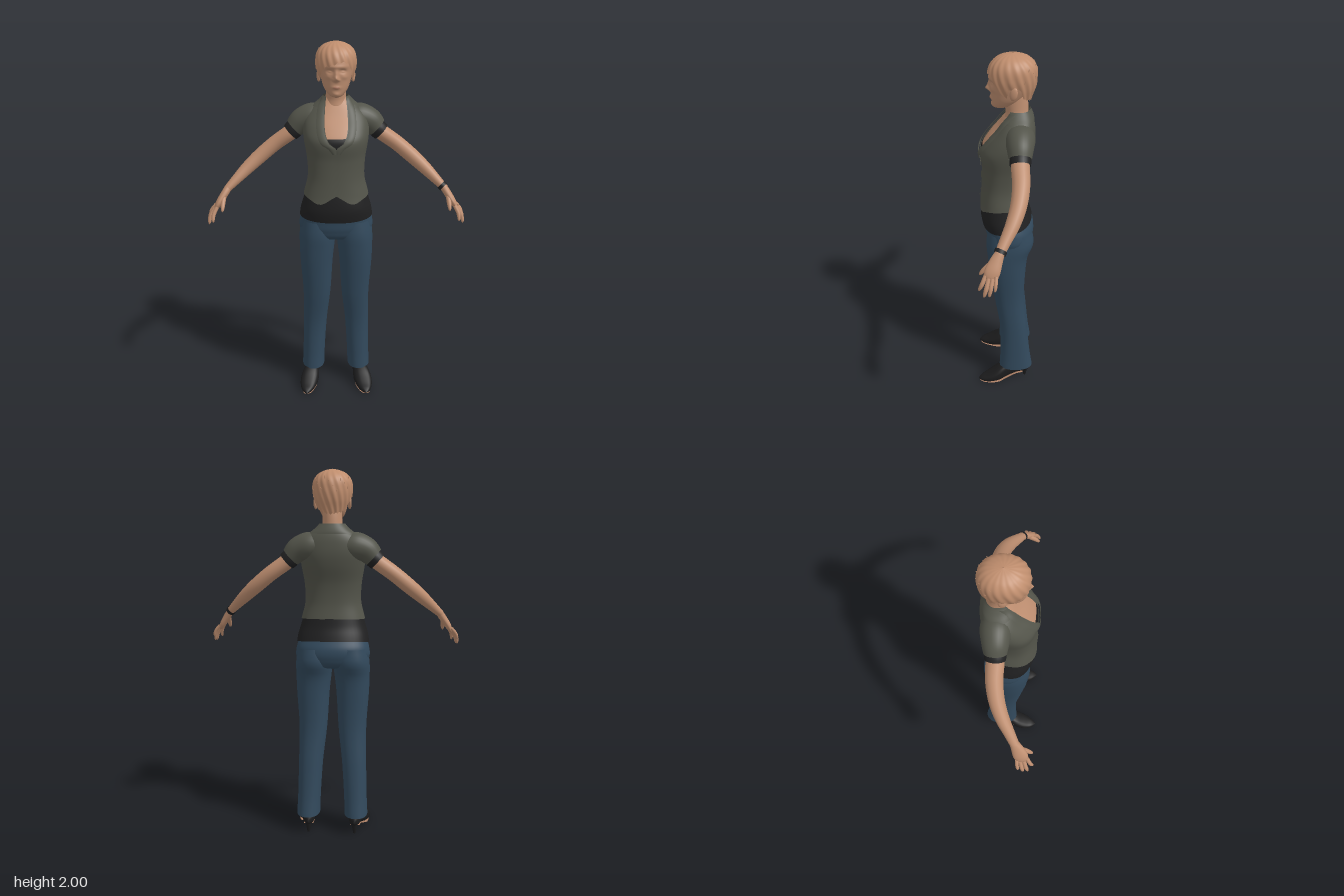
import * as THREE from 'three';
import { ParametricGeometry } from 'three/addons/geometries/ParametricGeometry.js';
import { mergeVertices } from 'three/addons/utils/BufferGeometryUtils.js';

const material = (name, color, side = THREE.DoubleSide) => {
  const m = new THREE.MeshStandardMaterial({ color, side });
  m.name = name;
  return m;
};
const V = (x, y, z) => new THREE.Vector3(x, y, z);
const lerp = THREE.MathUtils.lerp;
const TAU = Math.PI * 2;

// Smooth curve through rows [key, value, value, ...]
function sample(rows, k) {
  let i = 0;
  while (i < rows.length - 2 && k > rows[i + 1][0]) i++;
  const a = rows[i], b = rows[i + 1], h = b[0] - a[0];
  const p = rows[i - 1] || a, n = rows[i + 2] || b;
  const t = THREE.MathUtils.clamp((k - a[0]) / h, 0, 1), t2 = t * t, t3 = t2 * t;
  return a.slice(1).map((_, j) => {
    const c = j + 1;
    const ma = (b[c] - p[c]) / (b[0] - p[0]) * h, mb = (n[c] - a[c]) / (n[0] - a[0]) * h;
    return (2 * t3 - 3 * t2 + 1) * a[c] + (t3 - 2 * t2 + t) * ma + (3 * t2 - 2 * t3) * b[c] + (t3 - t2) * mb;
  });
}

// Smooth mesh from a function of u and v
function sheet(name, mat, nu, nv, fn) {
  let g = new ParametricGeometry((u, v, out) => out.copy(fn(u, v)), nu, nv);
  g.deleteAttribute('normal');
  g.deleteAttribute('uv');
  g = mergeVertices(g, 1e-5);
  g.computeVertexNormals();
  const mesh = new THREE.Mesh(g, mat);
  mesh.name = name;
  return mesh;
}

// Surface of level rings [y, zFront, zBack, halfWidth, xCentre]; angle 0 is the front
const power = (s, e) => Math.sign(s) * Math.abs(s) ** e;
const rings = (rows, e = 0.9) => (angle, y, off = 0) => {
  const [zf, zb, rx, xc = 0] = sample(rows, y);
  return V(xc + (rx + off) * power(Math.sin(angle), e), y,
    (zf + zb) / 2 + ((zf - zb) / 2 + off) * power(Math.cos(angle), e));
};
const column = (name, mat, surface, y0, y1, nu = 40, nv = 24) =>
  sheet(name, mat, nu, nv, (u, v) => surface(u * TAU, lerp(y0, y1, v)));

// Limb along points [x, y, z, thickness, width], optionally rounded at the tip
function limb(name, mat, points, side, round = false, nu = 18, nv = 24) {
  const rows = points.map((p, i) => [i, p[0] * side, ...p.slice(1)]), n = points.length - 1;
  return sheet(name, mat, nu, nv, (u, v) => {
    const k = v * n, [x, y, z, a, b] = sample(rows, k);
    const p = sample(rows, Math.max(0, k - 0.05)), q = sample(rows, Math.min(n, k + 0.05));
    const T = V(q[0] - p[0], q[1] - p[1], q[2] - p[2]).normalize();
    const S = V(0, 0, 1).addScaledVector(T, -T.z).normalize();
    const N = S.clone().cross(T);
    const r = round ? Math.sqrt(Math.max(0, 1 - v ** 8)) : 1;
    return V(x, y, z).addScaledVector(N, a * r * Math.cos(u * TAU)).addScaledVector(S, b * r * Math.sin(u * TAU));
  });
}

export function createModel() {
  const model = new THREE.Group();
  model.name = 'woman';
  const skin = material('skin', 0xbe8e70), hairMat = material('hair', 0xbf8d6d);
  const vestMat = material('vest cloth', 0x53544a), black = material('black cloth', 0x202021);
  const denim = material('trouser cloth', 0x32495c), leather = material('shoe leather', 0x1c1c1d);
  const soleMat = material('sole', 0xae8166), lipMat = material('lips', 0xb07c64);

  // Vest with a scooped opening and pointed front hem
  const torso = rings([
    [1.16, 0.146, -0.125, 0.187], [1.21, 0.138, -0.116, 0.174], [1.3, 0.13, -0.105, 0.153],
    [1.4, 0.128, -0.112, 0.156], [1.5, 0.135, -0.14, 0.172], [1.56, 0.1, -0.15, 0.175],
    [1.62, 0.05, -0.148, 0.162], [1.66, 0.022, -0.14, 0.128], [1.69, 0.002, -0.127, 0.086],
    [1.715, -0.005, -0.118, 0.064]], 0.86);
  const opening = (y) => {
    const w = Math.max(0, sample([[1.1, 0], [1.47, 0], [1.5, 0.036], [1.55, 0.057], [1.62, 0.06], [1.715, 0.052]], y)[0]);
    return Math.asin(Math.min(1, w / torso(Math.PI / 2, y).x) ** (1 / 0.86));
  };
  const hem = (angle) => {
    const a = Math.abs(angle > Math.PI ? angle - TAU : angle);
    return sample([[0, 1.215], [0.4, 1.17], [0.9, 1.19], [1.6, 1.205], [Math.PI, 1.215]], a)[0];
  };
  model.add(sheet('vest', vestMat, 64, 44, (u, v) => {
    const y = lerp(hem(u * TAU), 1.715, v), a = opening(y);
    return torso(lerp(a, TAU - a, u), y);
  }));
  for (const s of [1, -1]) {
    model.add(sheet(s > 0 ? 'leftLapel' : 'rightLapel', vestMat, 8, 30, (u, v) => {
      const y = lerp(1.445, 1.71, v), w = 0.045 * Math.min(1, 0.3 + v * 4) / torso(Math.PI / 2, y).x;
      return torso(s * (opening(y) + u * w), y, 0.004 + 0.007 * Math.sin(Math.PI * Math.min(1, 0.25 + u * 0.6)));
    }));
  }
  model.add(sheet('collar', vestMat, 40, 8, (u, v) => {
    const y = lerp(1.665, 1.718, v), a = opening(y);
    return torso(lerp(a, TAU - a, u), y, 0.009 * Math.sin(Math.PI * (0.15 + 0.7 * v)));
  }));
  model.add(sheet('frontOverlap', vestMat, 4, 20, (u, v) =>
    torso(lerp(-0.1, 0.04, u), lerp(1.215, 1.455, v), 0.005)));
  model.add(sheet('pocketWelt', vestMat, 6, 3, (u, v) =>
    torso(lerp(0.12, 0.4, u), lerp(1.34, 1.385, v) + 0.01 * u, 0.005)));

  // Chest and camisole inside the opening
  model.add(sheet('chest', skin, 24, 20, (u, v) => torso(lerp(-1, 1, u), lerp(1.46, 1.71, v), -0.008)));
  model.add(sheet('camisole', black, 20, 6, (u, v) => torso(lerp(-0.45, 0.45, u), lerp(1.455, 1.522, v), -0.004)));

  // Long shirt below the vest
  const shirt = rings([[1.05, 0.125, -0.146, 0.201], [1.08, 0.132, -0.144, 0.199], [1.12, 0.138, -0.133, 0.193],
    [1.165, 0.136, -0.118, 0.18], [1.21, 0.13, -0.109, 0.167], [1.26, 0.12, -0.1, 0.152]]);
  model.add(sheet('shirt', black, 48, 14, (u, v) =>
    shirt(u * TAU, lerp(1.078 - 0.018 * Math.cos(u * TAU), 1.26, v))));

  // Trousers
  const hips = rings([[0.935, 0.03, -0.07, 0.06], [0.95, 0.085, -0.12, 0.17], [1, 0.11, -0.147, 0.202],
    [1.05, 0.116, -0.149, 0.2], [1.1, 0.12, -0.13, 0.186]]);
  model.add(column('hips', denim, hips, 0.935, 1.1));
  for (const s of [1, -1]) {
    const label = s > 0 ? 'left' : 'right';
    const leg = rings([
      [0.1, 0.04, -0.155, 0.065, 0.135 * s], [0.2, 0.035, -0.14, 0.064, 0.131 * s],
      [0.4, 0.037, -0.12, 0.068, 0.122 * s], [0.6, 0.067, -0.102, 0.078, 0.11 * s],
      [0.8, 0.094, -0.108, 0.091, 0.11 * s], [0.9, 0.104, -0.12, 0.098, 0.106 * s],
      [0.97, 0.109, -0.148, 0.101, 0.102 * s], [1.05, 0.1, -0.14, 0.09, 0.1 * s]]);
    model.add(column(label + 'TrouserLeg', denim, leg, 0.1, 1.05, 32, 36));

    // Pointed shoe from sections [z, bottom, top, xCentre, halfWidth]
    const shoe = [[-0.14, 0.06, 0.08, 0.13, 0.004], [-0.125, 0.05, 0.11, 0.13, 0.028], [-0.06, 0.04, 0.12, 0.135, 0.036],
      [0, 0.018, 0.117, 0.145, 0.043], [0.04, 0.005, 0.098, 0.154, 0.051], [0.08, 0.002, 0.07, 0.162, 0.05],
      [0.12, 0.002, 0.045, 0.168, 0.039], [0.15, 0.005, 0.03, 0.172, 0.022], [0.168, 0.012, 0.016, 0.174, 0.002]];
    model.add(sheet(label + 'Shoe', leather, 24, 30, (u, v) => {
      const z = lerp(-0.14, 0.168, v), [b, t, x, w] = sample(shoe, z), a = u * TAU;
      return V(x * s + w * power(Math.cos(a), 0.8), lerp(b, t, 0.5 + 0.5 * power(Math.sin(a), 0.8)), z);
    }));
    model.add(sheet(label + 'Sole', soleMat, 6, 24, (u, v) => {
      const z = lerp(-0.1, 0.16, v), [b, , x, w] = sample(shoe, z);
      return V(x * s + w * 0.8 * (u * 2 - 1), Math.max(0, b - 0.003), z);
    }));
    const heel = new THREE.Mesh(new THREE.CylinderGeometry(0.02, 0.007, 0.065, 12), leather);
    heel.name = label + 'Heel';
    heel.position.set(0.13 * s, 0.0325, -0.113);
    model.add(heel);

    // Sleeve, cuff and bare arm
    model.add(limb(label + 'Sleeve', vestMat, [[0.07, 1.6, -0.068, 0.066, 0.07], [0.125, 1.598, -0.068, 0.076, 0.076],
      [0.18, 1.58, -0.067, 0.068, 0.068], [0.222, 1.542, -0.066, 0.055, 0.057]], s, false, 28));
    model.add(limb(label + 'Cuff', black, [[0.195, 1.56, -0.066, 0.05, 0.052], [0.225, 1.535, -0.066, 0.052, 0.054],
      [0.244, 1.518, -0.066, 0.05, 0.052]], s, false, 24, 8));
    model.add(limb(label + 'Arm', skin, [[0.2, 1.55, -0.066, 0.042, 0.044], [0.25, 1.512, -0.066, 0.042, 0.046],
      [0.33, 1.455, -0.068, 0.041, 0.044], [0.41, 1.39, -0.054, 0.04, 0.041], [0.48, 1.33, -0.025, 0.035, 0.036],
      [0.54, 1.275, 0.012, 0.027, 0.029], [0.588, 1.23, 0.042, 0.02, 0.024]], s, false, 20, 36));

    // Hand with four fingers and a thumb
    const hand = new THREE.Group();
    hand.name = label + 'Hand';
    hand.add(limb('palm', skin, [[0.582, 1.236, 0.038, 0.02, 0.024], [0.603, 1.205, 0.055, 0.02, 0.032],
      [0.63, 1.165, 0.073, 0.018, 0.039], [0.652, 1.125, 0.084, 0.013, 0.036]], s, true));
    [[0.637, 1.15, 0.105, 0.658, 1.073, 0.14], [0.649, 1.142, 0.09, 0.684, 1.054, 0.115],
      [0.653, 1.142, 0.072, 0.688, 1.058, 0.09], [0.65, 1.15, 0.054, 0.686, 1.085, 0.062]].forEach((f, i) => {
      const r = [0.0105, 0.011, 0.0105, 0.009][i];
      hand.add(limb('finger' + (i + 1), skin, [[f[0], f[1], f[2], r, r],
        [lerp(f[0], f[3], 0.5) + 0.008, lerp(f[1], f[4], 0.5), lerp(f[2], f[5], 0.5), r, r],
        [f[3], f[4], f[5], r * 0.75, r * 0.75]], s, true, 10, 12));
    });
    hand.add(limb('thumb', skin, [[0.602, 1.2, 0.07, 0.013, 0.015], [0.605, 1.165, 0.108, 0.012, 0.013],
      [0.607, 1.13, 0.136, 0.008, 0.009]], s, true, 10, 12));
    model.add(hand);
  }
  model.add(limb('bracelet', black, [[0.57, 1.246, 0.031, 0.027, 0.031], [0.583, 1.234, 0.039, 0.026, 0.03]], 1, false, 20, 2));

  // Neck
  const neck = rings([[1.6, 0.0, -0.12, 0.09], [1.66, 0.008, -0.122, 0.07], [1.7, 0.002, -0.113, 0.056],
    [1.75, 0.012, -0.11, 0.052], [1.82, 0.02, -0.1, 0.052]], 1);
  model.add(column('neck', skin, neck, 1.6, 1.82, 32, 14));

  // Head, with features as bumps [x, y, depth, spreadX, spreadY]
  const skull = rings([[1.72, 0.045, 0.02, 0.003], [1.728, 0.064, -0.01, 0.028], [1.742, 0.071, -0.04, 0.045],
    [1.77, 0.074, -0.075, 0.064], [1.81, 0.078, -0.105, 0.077], [1.85, 0.082, -0.125, 0.086],
    [1.9, 0.083, -0.135, 0.092], [1.95, 0.06, -0.12, 0.078], [1.98, 0.02, -0.07, 0.03]], 0.95);
  const bumps = [[0, 1.824, 0.02, 0.011, 0.013], [0, 1.845, 0.01, 0.009, 0.02], [0, 1.777, 0.006, 0.022, 0.009],
    [0, 1.742, 0.005, 0.018, 0.01], [0, 1.882, 0.004, 0.06, 0.009]];
  for (const s of [1, -1]) bumps.push([0.034 * s, 1.86, -0.012, 0.016, 0.01], [0.034 * s, 1.858, 0.007, 0.01, 0.005],
    [0.013 * s, 1.817, 0.006, 0.006, 0.006], [0.045 * s, 1.83, 0.004, 0.016, 0.012]);
  const face = (angle, y, off = 0) => {
    const p = skull(angle, y, off);
    if (Math.cos(angle) > 0) for (const [x, by, d, sx, sy] of bumps)
      p.z += d * Math.exp(-(((p.x - x) / sx) ** 2) - ((y - by) / sy) ** 2);
    return p;
  };
  model.add(column('head', skin, face, 1.72, 1.98, 96, 72));
  model.add(sheet('lips', lipMat, 14, 6, (u, v) =>
    face(lerp(-0.3, 0.3, u), 1.777 + (v - 0.5) * 0.016 * Math.sin(Math.PI * u), 0.0015)));

  // Ears
  for (const s of [1, -1]) {
    const ear = new THREE.Mesh(new THREE.SphereGeometry(1, 16, 12), skin);
    ear.name = s > 0 ? 'leftEar' : 'rightEar';
    ear.scale.set(0.01, 0.034, 0.02);
    ear.position.set(0.09 * s, 1.825, -0.035);
    ear.rotation.set(-0.2, 0.3 * -s, 0);
    model.add(ear);
  }

  // Short hair with a swept fringe, sideburns and nape
  const cap = rings([[1.76, 0.03, -0.122, 0.066], [1.8, 0.062, -0.135, 0.084], [1.84, 0.082, -0.148, 0.098],
    [1.89, 0.092, -0.154, 0.106], [1.94, 0.081, -0.147, 0.1], [1.975, 0.05, -0.118, 0.074],
    [1.993, 0.012, -0.078, 0.036], [2, -0.03, -0.036, 0.002]], 0.95);
  const hairEdge = [[0, 1.9], [0.6, 1.885], [0.95, 1.835], [1.2, 1.8], [1.45, 1.85], [1.8, 1.85], [2.1, 1.79], [Math.PI, 1.765]];
  model.add(sheet('hair', hairMat, 120, 30, (u, v) => {
    const a = lerp(-Math.PI, Math.PI, u), fringe = 0.028 * Math.sin(a * 1.6) * Math.max(0, 1 - Math.abs(a));
    const y = lerp(sample(hairEdge, Math.abs(a))[0] + fringe + 0.004 * Math.sin(a * 24), 2, Math.sin(v * Math.PI / 2));
    return cap(a, y, 0.0022 * Math.sin(a * 18 + y * 50) * Math.cos(v * Math.PI / 2));
  }));

  // Loose tufts at the crown and nape
  for (let i = 0; i < 12; i++) {
    const p = cap(Math.PI + (i - 5.5) * 0.2, 1.88 + 0.075 * ((i * 5) % 7) / 7, -0.004);
    const tuft = new THREE.Mesh(new THREE.ConeGeometry(0.007, 0.034, 6), hairMat);
    tuft.name = 'tuft' + (i + 1);
    tuft.position.copy(p);
    tuft.quaternion.setFromUnitVectors(V(0, 1, 0), V(p.x * 3, 0.75, -0.35).normalize());
    model.add(tuft);
  }
  return model;
}
